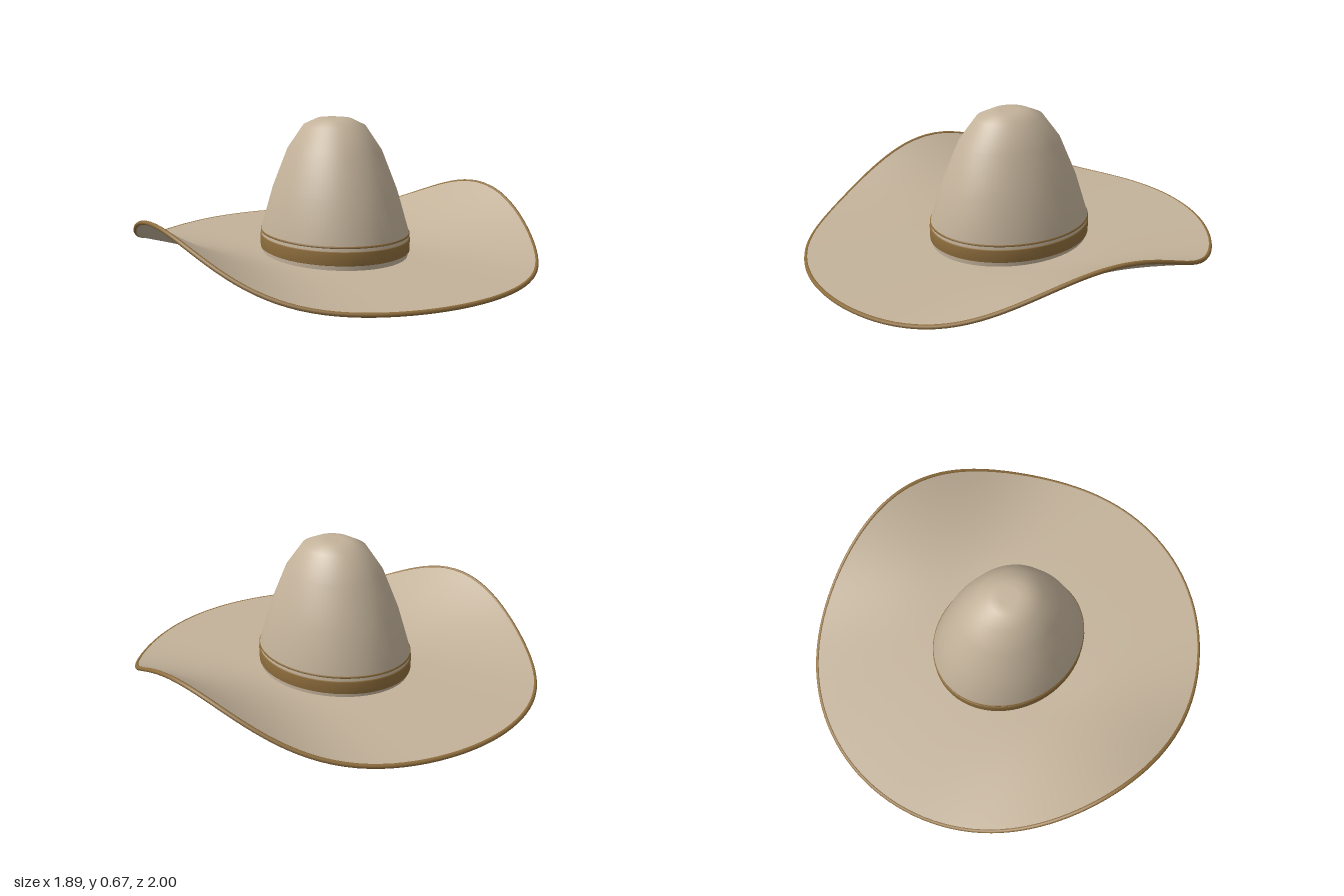
import * as THREE from 'three';
import { mergeVertices } from 'three/addons/utils/BufferGeometryUtils.js';

const SEG = 64;
const STRETCH = 1.16; // the crown is longer front to back
const INNER = [0.333, 0.386]; // brim opening radii, x and z
const OUTER = [0.934, 0.988]; // brim edge radii, x and z
const THICK = 0.017;

// Point on the underside of the brim: angle a, t = 0 at the crown to 1 at the edge
function brimPoint(a, t, lift = 0) {
  const x = Math.cos(a) * THREE.MathUtils.lerp(INNER[0], OUTER[0], t);
  const z = Math.sin(a) * THREE.MathUtils.lerp(INNER[1], OUTER[1], t);
  const curl = 0.25 * Math.pow(t, 1.7) * Math.pow(Math.abs(Math.cos(a)), 6.5);
  return new THREE.Vector3(x, 0.015 - 0.01 * z + curl + lift, z);
}

// One sheet of the brim
function brimSheet(lift) {
  let geo = new THREE.PlaneGeometry(1, 1, 96, 16);
  const pos = geo.attributes.position;
  for (let i = 0; i < pos.count; i++) {
    const a = (0.5 + pos.getX(i)) * Math.PI * 2;
    const p = brimPoint(a, 0.5 - pos.getY(i), lift);
    pos.setXYZ(i, p.x, p.y, p.z);
  }
  geo.deleteAttribute('uv');
  geo.deleteAttribute('normal');
  geo = mergeVertices(geo, 1e-5);
  geo.computeVertexNormals();
  return geo;
}

// Oval turned shape from [radius, height] pairs
function ovalLathe(profile) {
  const geo = new THREE.LatheGeometry(profile.map(([r, y]) => new THREE.Vector2(r, y)), SEG);
  return geo.scale(1, 1, STRETCH);
}

export function createModel() {
  const felt = new THREE.MeshStandardMaterial({ color: 0xc3b29a, side: THREE.DoubleSide });
  felt.name = 'beige felt';
  const trim = new THREE.MeshStandardMaterial({ color: 0x8f6e3d, side: THREE.DoubleSide });
  trim.name = 'golden brown trim';

  const hat = new THREE.Group();
  hat.name = 'hat';
  const add = (name, geo, mat) => {
    const mesh = new THREE.Mesh(geo, mat);
    mesh.name = name;
    hat.add(mesh);
  };

  // Crown: open below, flat rounded top
  add('crown', ovalLathe([
    [0.333, 0.015], [0.335, 0.05], [0.338, 0.14], [0.284, 0.34], [0.214, 0.53],
    [0.14, 0.645], [0.078, 0.676], [0.04, 0.678], [0, 0.678],
  ]), felt);

  // Hat band and the narrow stripe above it
  add('hatBand', ovalLathe([[0.335, 0.05], [0.342, 0.054], [0.343, 0.112], [0.337, 0.116]]), trim);
  add('bandStripe', ovalLathe([[0.337, 0.13], [0.341, 0.132], [0.341, 0.139], [0.337, 0.141]]), trim);

  // Narrow stripes inside the crown
  for (const y of [0.116, 0.134]) {
    add('innerStripe', ovalLathe([[0.334, y], [0.334, y + 0.006]]), trim);
  }

  // Brim: upper and lower sheets, curled up at both sides
  add('brimTop', brimSheet(THICK), felt);
  add('brimUnderside', brimSheet(0), felt);

  // Rolled trim along the brim edge
  const edge = [];
  for (let i = 0; i < 96; i++) edge.push(brimPoint((i / 96) * Math.PI * 2, 1, THICK / 2));
  const curve = new THREE.CatmullRomCurve3(edge, true);
  add('brimEdge', new THREE.TubeGeometry(curve, 128, 0.01, 8, true), trim);

  return hat;
}
